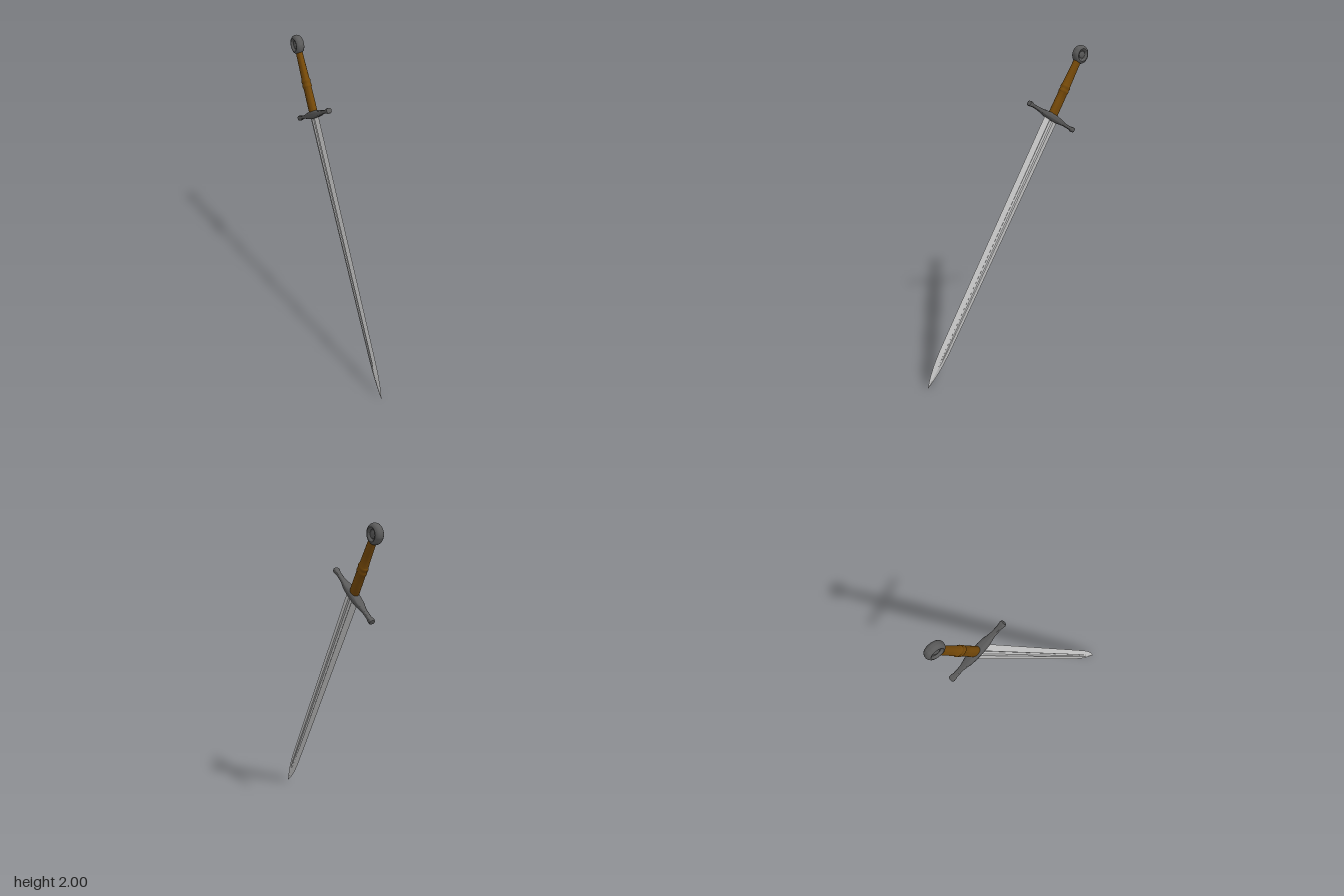
import * as THREE from 'three';
import { toCreasedNormals } from 'three/addons/utils/BufferGeometryUtils.js';

const steel = new THREE.MeshStandardMaterial({ color: 0xcccccc });
const iron = new THREE.MeshStandardMaterial({ color: 0x5a5a5a });
const leather = new THREE.MeshStandardMaterial({ color: 0x744808 });

// Skin a stack of rings (each a list of [x, y, z]) along y and close both ends
function loft(rings, crease) {
  const n = rings[0].length;
  const pos = rings.flat(2);
  const index = [];
  for (let r = 0; r < rings.length - 1; r++) {
    for (let i = 0; i < n; i++) {
      const a = r * n + i, b = r * n + (i + 1) % n;
      index.push(a, a + n, b, b, a + n, b + n);
    }
  }
  const last = (rings.length - 1) * n;
  const c = rings.length * n;
  pos.push(0, rings[0][0][1], 0, 0, rings[rings.length - 1][0][1], 0);
  for (let i = 0; i < n; i++) {
    const j = (i + 1) % n;
    index.push(c, i, j, c + 1, last + j, last + i);
  }
  const g = new THREE.BufferGeometry();
  g.setAttribute('position', new THREE.Float32BufferAttribute(pos, 3));
  g.setIndex(index);
  return toCreasedNormals(g, crease);
}

// Rounded ring; power 1 is an ellipse, smaller is boxier
function oval(y, hx, hz, power = 1, n = 24) {
  const bend = (v) => Math.sign(v) * Math.abs(v) ** power;
  return Array.from({ length: n }, (_, i) => {
    const a = ((i + 0.5) / n) * Math.PI * 2;
    return [bend(Math.cos(a)) * hx, y, bend(Math.sin(a)) * hz];
  });
}

// Blade section: sharp edges, bevels up to two ridges, hollow fuller between
function bladeRing(y, w, ridge, fuller, depth) {
  const side = [[fuller, ridge], [fuller * 0.55, ridge - depth], [-fuller * 0.55, ridge - depth], [-fuller, ridge]];
  return [
    [w, y, 0], ...side.map(([x, z]) => [x, y, z]),
    [-w, y, 0], ...side.map(([x, z]) => [-x, y, -z]),
  ];
}

function add(parent, name, geometry, material) {
  const mesh = new THREE.Mesh(geometry, material);
  mesh.name = name;
  parent.add(mesh);
  return mesh;
}

export function createModel() {
  const model = new THREE.Group();
  const sword = new THREE.Group();
  sword.name = 'sword';
  model.add(sword);

  // Blade, tip at the local origin: y, half width, ridge height, fuller half width, fuller depth
  const blade = [
    [0, 0.0005, 0.0005, 0.0002, 0],
    [0.04, 0.013, 0.004, 0.001, 0],
    [0.09, 0.025, 0.007, 0.0015, 0],
    [0.15, 0.035, 0.009, 0.002, 0],
    [0.19, 0.039, 0.01, 0.007, 0.002],
    [0.26, 0.043, 0.0105, 0.01, 0.004],
    [0.5, 0.046, 0.011, 0.012, 0.005],
    [1.85, 0.057, 0.012, 0.018, 0.006],
  ];
  add(sword, 'blade', loft(blade.map((s) => bladeRing(...s)), 0.25), steel);

  // Crossguard: one half's sections, mirrored to the other side
  const half = [
    [0.035, 0.022, 0.028],
    [0.075, 0.018, 0.026],
    [0.1, 0.014, 0.02],
    [0.13, 0.011, 0.015],
    [0.18, 0.0105, 0.014],
    [0.195, 0.014, 0.017],
    [0.208, 0.0165, 0.018],
    [0.216, 0.0145, 0.016],
    [0.219, 0.01, 0.011],
  ];
  const guard = [...half.map(([t, a, b]) => [-t, a, b]).reverse(), [0, 0.024, 0.0285], ...half];
  const crossguard = add(sword, 'crossguard', loft(guard.map(([t, a, b]) => oval(t, a, b, 0.7)), 0.7), iron);
  crossguard.rotation.z = -Math.PI / 2;
  crossguard.position.y = 1.843;

  // Grip, swelling to a raised band at the middle
  const grip = [
    [1.85, 0.03, 0.02],
    [1.87, 0.032, 0.0225],
    [1.95, 0.0315, 0.022],
    [2.005, 0.031, 0.0215],
    [2.01, 0.034, 0.0245],
    [2.02, 0.034, 0.0245],
    [2.025, 0.032, 0.0225],
    [2.035, 0.032, 0.0225],
    [2.04, 0.034, 0.0245],
    [2.05, 0.0335, 0.024],
    [2.055, 0.03, 0.021],
    [2.13, 0.0275, 0.019],
    [2.215, 0.0255, 0.0175],
  ];
  add(sword, 'grip', loft(grip.map(([y, a, b]) => oval(y, a, b, 0.85)), 0.6), leather);

  // Wheel pommel with a dished face and a raised centre on both sides
  const face = [
    [0, 0.017], [0.017, 0.016], [0.021, 0.013], [0.025, 0.014], [0.032, 0.023],
    [0.038, 0.025], [0.046, 0.0225], [0.053, 0.015], [0.056, 0.006],
  ];
  const profile = [
    ...face.map(([r, h]) => [r, -h]),
    ...[...face].reverse(),
  ].map(([r, h]) => new THREE.Vector2(r, h));
  const wheel = toCreasedNormals(new THREE.LatheGeometry(profile, 40), 0.6);
  const pommel = add(sword, 'pommel', wheel, iron);
  pommel.rotation.x = Math.PI / 2;
  pommel.position.y = 2.262;

  // Lean the whole sword so that it rests on its tip
  const up = new THREE.Vector3(-1.132, 1.944, -0.235).normalize();
  const normal = new THREE.Vector3(0.855, 0.503, 0.117).cross(up).normalize();
  const across = up.clone().cross(normal);
  sword.quaternion.setFromRotationMatrix(new THREE.Matrix4().makeBasis(across, up, normal));
  sword.position.set(0.592, 0, 0.13);
  return model;
}
